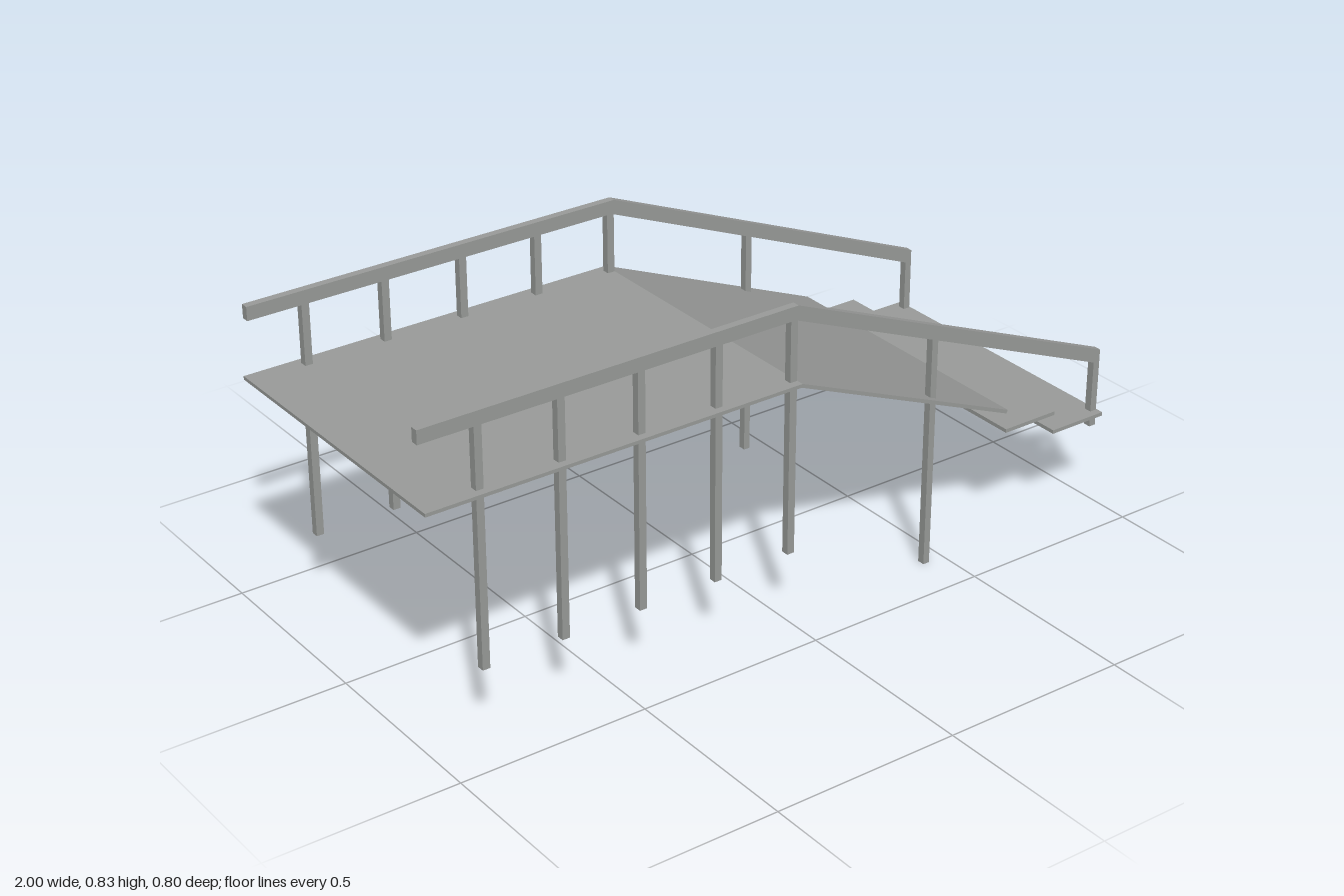
import * as THREE from 'three';

export function createModel() {
  const model = new THREE.Group();
  model.name = 'rampWalkway';
  const grey = new THREE.MeshStandardMaterial({ color: 0x9a9c9a });
  grey.name = 'grey';

  // Side profile in x and y, extruded along z and centred on the given z
  const profile = (name, points, width, z = 0) => {
    const shape = new THREE.Shape(points.map(([x, y]) => new THREE.Vector2(x, y)));
    const geometry = new THREE.ExtrudeGeometry(shape, { depth: width, bevelEnabled: false });
    geometry.translate(0, 0, z - width / 2);
    const mesh = new THREE.Mesh(geometry, grey);
    mesh.name = name;
    model.add(mesh);
  };

  const box = (name, x0, x1, y0, y1, width, z = 0) => {
    const mesh = new THREE.Mesh(new THREE.BoxGeometry(x1 - x0, y1 - y0, width), grey);
    mesh.position.set((x0 + x1) / 2, (y0 + y1) / 2, z);
    mesh.name = name;
    model.add(mesh);
  };

  // Level deck bending into the sloping ramp
  profile('deckAndRamp', [
    [-1, 0.63], [0.022, 0.63], [0.67, 0.36], [0.674, 0.369], [0.025, 0.639], [-1, 0.639],
  ], 0.8);

  // Two steps at the foot of the ramp
  box('upperStep', 0.672, 0.833, 0.305, 0.315, 0.8);
  box('lowerStep', 0.833, 1, 0.251, 0.261, 0.8);

  // Handrails and posts on both sides
  for (const [side, z] of [['left', 0.37], ['right', -0.37]]) {
    profile(side + 'Handrail', [
      [-1, 0.797], [0.018, 0.797], [0.996, 0.393], [0.996, 0.432], [0.025, 0.833], [-1, 0.833],
    ], 0.02, z);
    for (let i = 0; i < 5; i++) {
      const x = -0.848 + i * 0.2155;
      box(side + 'DeckPost', x - 0.01, x + 0.01, 0.178, 0.8, 0.02, z);
    }
    box(side + 'RampPost', 0.436, 0.454, 0, 0.625, 0.02, z);
    box(side + 'EndPost', 0.978, 0.997, 0.218, 0.432, 0.02, z);
  }
  return model;
}
